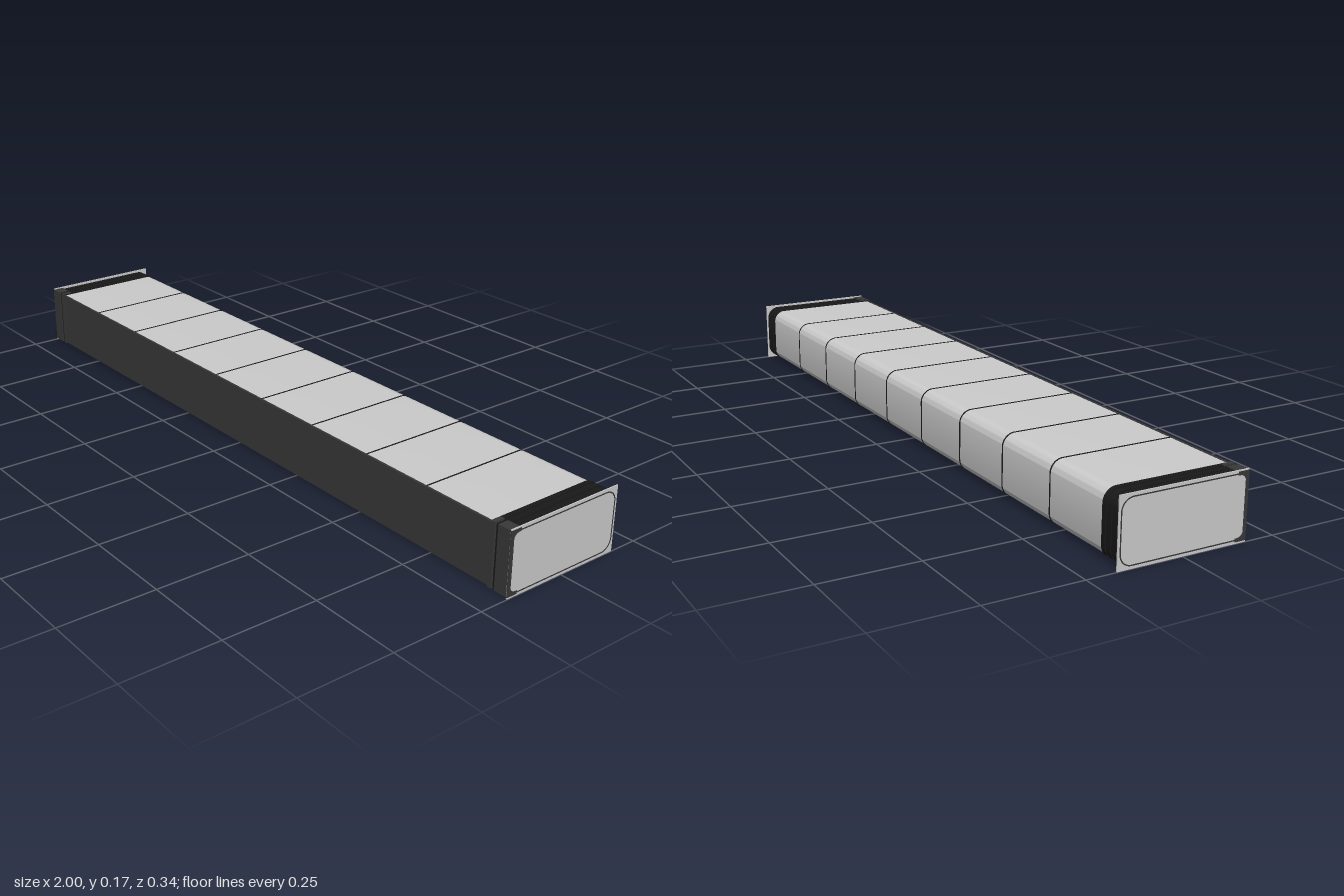
import * as THREE from 'three';
import { toCreasedNormals } from 'three/addons/utils/BufferGeometryUtils.js';

const grey = new THREE.MeshStandardMaterial({ color: 0xcccccc });
const charcoal = new THREE.MeshStandardMaterial({ color: 0x383838 });
const black = new THREE.MeshStandardMaterial({ color: 0x191919 });

// Cross-section drawn in (-z, y): square at the front, rounded at the back.
function section(path, grow = 0, front = 0.166) {
  const f = -front - grow, b = 0.167 + grow;
  const lo = 0.007 - grow, hi = 0.165 + grow, r = 0.032 + grow;
  path.moveTo(f, lo);
  path.lineTo(b - r, lo);
  path.absarc(b - r, lo + r, r, -Math.PI / 2, 0, false);
  path.lineTo(b, hi - r);
  path.absarc(b - r, hi - r, r, 0, Math.PI / 2, false);
  path.lineTo(f, hi);
  path.closePath();
  return path;
}

// Extrudes a cross-section along x, centred on the given x.
function along(shape, width, x) {
  const geo = new THREE.ExtrudeGeometry(shape, { depth: width, bevelEnabled: false, curveSegments: 10 });
  geo.translate(0, 0, -width / 2).rotateY(Math.PI / 2).translate(x, 0, 0);
  return toCreasedNormals(geo, 0.6);
}

// C-shaped bracket with rounded inner corners, hugging the front edge.
function bracketShape() {
  const s = new THREE.Shape();
  const f = -0.172, i = -0.164, tip = -0.142, lo = 0.004, hi = 0.169, t = 0.009, r = 0.017;
  s.moveTo(f, lo);
  s.lineTo(tip, lo);
  s.lineTo(tip, lo + t);
  s.lineTo(i + r, lo + t);
  s.absarc(i + r, lo + t + r, r, -Math.PI / 2, -Math.PI, true);
  s.lineTo(i, hi - t - r);
  s.absarc(i + r, hi - t - r, r, Math.PI, Math.PI / 2, true);
  s.lineTo(tip, hi - t);
  s.lineTo(tip, hi);
  s.lineTo(f, hi);
  s.closePath();
  return s;
}

export function createModel() {
  const model = new THREE.Group();
  const add = (name, geo, mat, parent = model) => {
    const mesh = new THREE.Mesh(geo, mat);
    mesh.name = name;
    parent.add(mesh);
    return mesh;
  };

  // Housing: nine panels with thin raised seams between them
  const count = 9, half = 0.938, step = (2 * half) / count;
  const housing = new THREE.Group();
  housing.name = 'housing';
  model.add(housing);
  for (let i = 0; i < count; i++) {
    const x = -half + step * (i + 0.5);
    add('housingPanel', along(section(new THREE.Shape()), step, x), grey, housing);
    if (i > 0) add('seam', along(section(new THREE.Shape(), 0.0015, 0.163), 0.003, x - step / 2), black, housing);
  }

  // Dark front panel
  const front = add('frontPanel', new THREE.BoxGeometry(2 * half, 0.159, 0.006), charcoal);
  front.position.set(0, 0.0865, 0.1675);

  for (const side of [-1, 1]) {
    const end = new THREE.Group();
    end.name = side > 0 ? 'leftEnd' : 'rightEnd';
    model.add(end);

    // Ribbed collar
    add('collar', along(section(new THREE.Shape()), 0.06, side * 0.967), black, end);
    for (const x of [0.942, 0.963, 0.984]) {
      add('collarRib', along(section(new THREE.Shape(), 0.0025), 0.013, side * x), black, end);
    }

    // Front bracket, reaching just through the end plate
    add('frontBracket', along(bracketShape(), 0.04, side * 0.98), charcoal, end);
    add('bracketLip', along(bracketShape(), 0.012, side * 0.944), charcoal, end);

    // Flat end plate
    const plate = add('endPlate', new THREE.BoxGeometry(0.003, 0.172, 0.344), grey, end);
    plate.position.set(side * 0.998, 0.086, 0);

    // Thin trim line on the plate
    const trim = section(new THREE.Shape());
    trim.holes.push(section(new THREE.Path(), -0.003));
    add('plateTrim', along(trim, 0.002, side * 0.999), charcoal, end);
  }
  return model;
}
